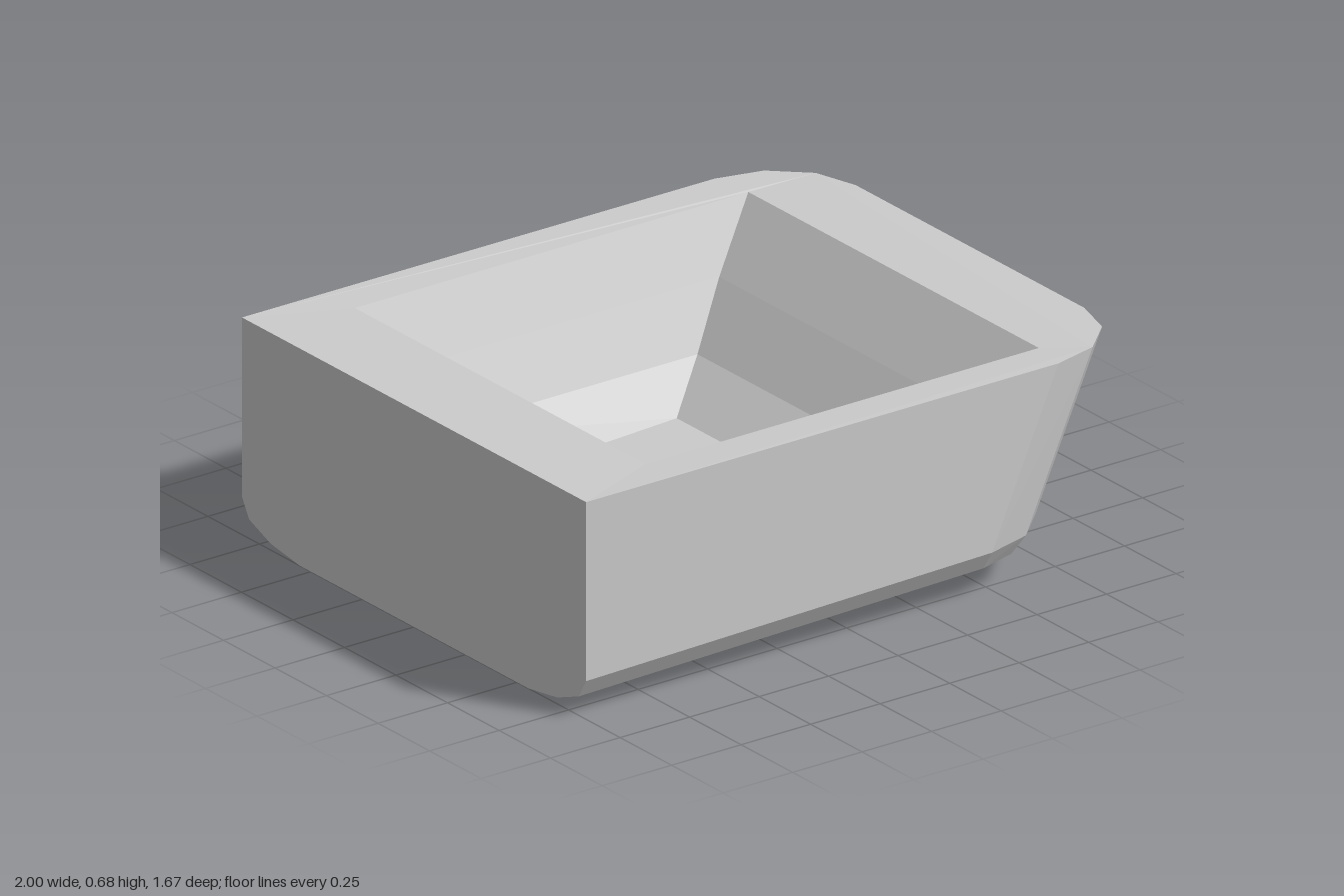
import * as THREE from 'three';

const material = new THREE.MeshStandardMaterial({ color: 0xcccccc, flatShading: true });

const SLOPE = 0.019;
const bottomY = (x) => SLOPE * (x + 1);
const floorY = (x) => 0.16 + 0.035 * (x + 0.57) / 0.815;
const DRAIN = { x: -0.34, r: 0.12, sides: 32 };

// Outline with a square back edge at x = -1 and two rounded corners on the +x end
function outline(cx, rx, rz, yAt) {
  const half = [[-1, 0.555 + rz]];
  for (let i = 0; i <= 3; i++) {
    const a = i * Math.PI / 6;
    half.push([cx + rx * Math.sin(a), 0.555 + rz * Math.cos(a)]);
  }
  const all = [...half, ...half.slice().reverse().map(([x, z]) => [x, -z])];
  return all.map(([x, z]) => new THREE.Vector3(x, yAt(x), z));
}

function rectangle(x0, x1, z, yAt) {
  return [[x0, z], [x1, z], [x1, -z], [x0, -z]].map(([x, w]) => new THREE.Vector3(x, yAt(x), w));
}

function circle(yAt) {
  return Array.from({ length: DRAIN.sides }, (_, i) => {
    const a = i / DRAIN.sides * Math.PI * 2;
    const x = DRAIN.x + DRAIN.r * Math.cos(a);
    return new THREE.Vector3(x, yAt(x), -DRAIN.r * Math.sin(a));
  });
}

// Walls joining closed loops listed from top to bottom
function skin(name, loops, inward = false) {
  const pos = [];
  const tri = (a, b, c) => {
    for (const p of inward ? [a, c, b] : [a, b, c]) pos.push(p.x, p.y, p.z);
  };
  for (let k = 0; k < loops.length - 1; k++) {
    const up = loops[k], low = loops[k + 1], n = up.length;
    for (let i = 0; i < n; i++) {
      const j = (i + 1) % n;
      tri(low[i], low[j], up[j]);
      tri(low[i], up[j], up[i]);
    }
  }
  const g = new THREE.BufferGeometry();
  g.setAttribute('position', new THREE.Float32BufferAttribute(pos, 3));
  g.computeVertexNormals();
  return named(name, g);
}

// Nearly flat panel with a hole, facing up or down
function panel(name, edge, hole, yAt, faceUp) {
  const to2 = (p) => new THREE.Vector2(p.x, -p.z);
  const shape = new THREE.Shape(edge.map(to2));
  shape.holes.push(new THREE.Path(hole.map(to2)));
  const g = new THREE.ShapeGeometry(shape);
  const p = g.attributes.position;
  for (let i = 0; i < p.count; i++) {
    const x = p.getX(i), y = p.getY(i);
    p.setXYZ(i, x, yAt(x, y), faceUp ? -y : y);
  }
  g.computeVertexNormals();
  return named(name, g);
}

function named(name, geometry) {
  const mesh = new THREE.Mesh(geometry, material);
  mesh.name = name;
  return mesh;
}

export function createModel() {
  const group = new THREE.Group();
  group.name = 'washbasin';

  // Outer shell: slanted end, then a rounded lower edge
  const rimY = (x) => 0.684 - 0.001 * (x + 1);
  const outer = [
    outline(0.70, 0.30, 0.28, rimY),
    outline(0.46, 0.30, 0.28, (x) => 0.12 + bottomY(x)),
    outline(0.455, 0.25, 0.245, (x) => 0.06 + bottomY(x)),
    outline(0.44, 0.14, 0.14, (x) => 0.02 + bottomY(x)),
    outline(0.42, 0, 0, bottomY),
  ];
  group.add(skin('outerShell', outer));

  // Bowl: four walls that flatten towards the floor
  const bowl = [
    rectangle(-0.69, 0.725, 0.705, () => 0.679),
    rectangle(-0.665, 0.55, 0.61, () => 0.49),
    rectangle(-0.62, 0.405, 0.52, () => 0.315),
    rectangle(-0.57, 0.245, 0.405, floorY),
  ];
  group.add(skin('bowlWalls', bowl, true));

  // Rim, dipping slightly towards the bowl
  const inside = (x, z) => Math.abs(x) < 0.75 && Math.abs(z) < 0.72;
  group.add(panel('rim', outer[0], bowl[0], (x, z) => (inside(x, z) ? 0.679 : rimY(x)), true));

  // Floor, underside and drain
  group.add(panel('bowlFloor', bowl[3], circle(floorY), floorY, true));
  group.add(panel('underside', rectangle(-1, 0.42, 0.555, bottomY), circle(bottomY), bottomY, false));
  group.add(skin('drainHole', [circle(floorY), circle(bottomY)], true));

  return group;
}
